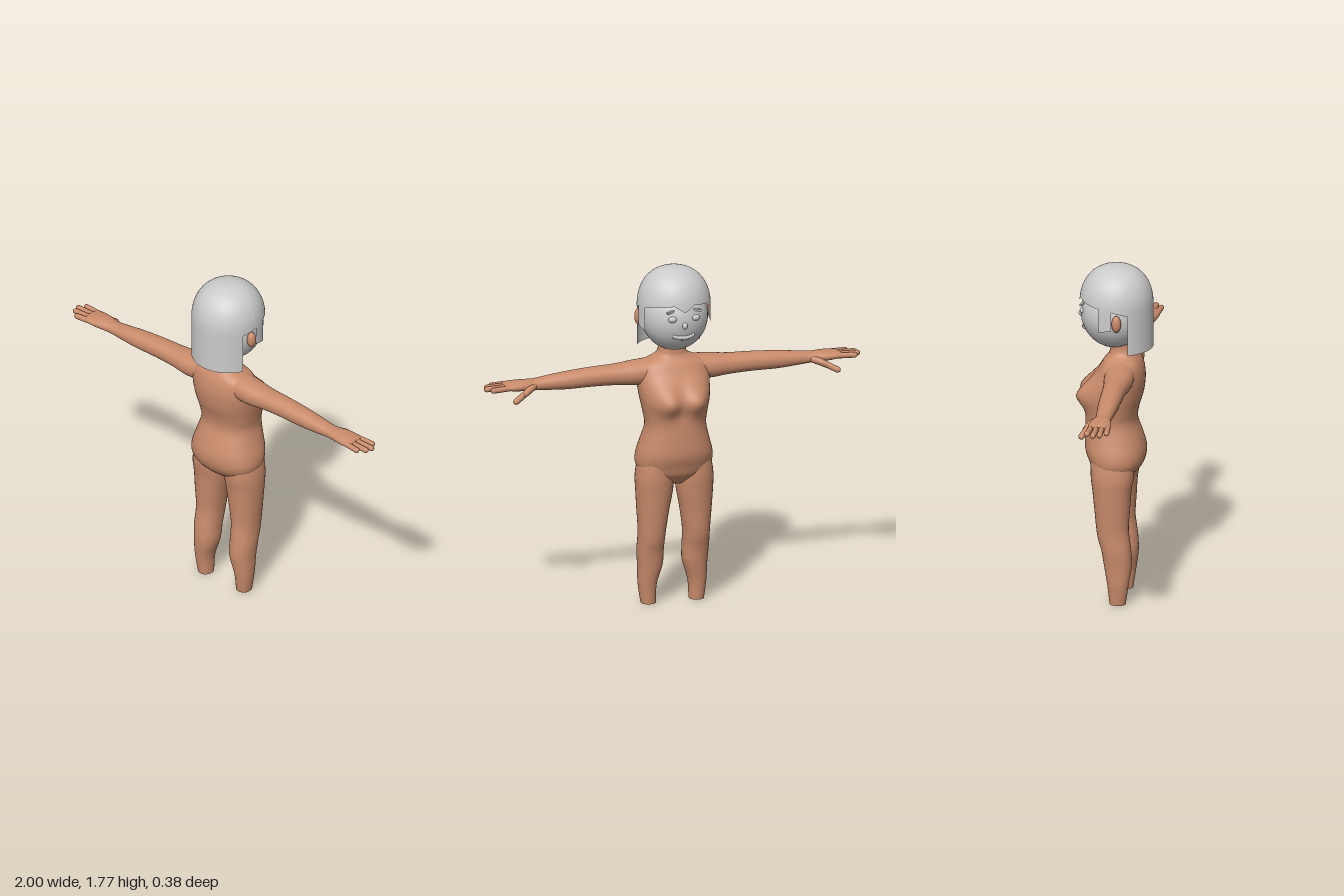
import * as THREE from 'three';

const skin = new THREE.MeshStandardMaterial({ color: 0xc98b6b, side: THREE.DoubleSide });
const grey = new THREE.MeshStandardMaterial({ color: 0xcccccc, side: THREE.DoubleSide });

function mesh(name, geometry, material, x = 0, y = 0, z = 0) {
  const m = new THREE.Mesh(geometry, material);
  m.name = name;
  m.position.set(x, y, z);
  return m;
}

function buildGeometry(pos, index) {
  const g = new THREE.BufferGeometry();
  g.setAttribute('position', new THREE.Float32BufferAttribute(pos, 3));
  g.setIndex(index);
  g.computeVertexNormals();
  return g;
}

// Smooth interpolation of section rows, several steps per span
function resample(rows, steps) {
  const out = [];
  for (let i = 0; i < rows.length - 1; i++) {
    const a = rows[Math.max(i - 1, 0)], b = rows[i], c = rows[i + 1], d = rows[Math.min(i + 2, rows.length - 1)];
    for (let s = 0; s < steps; s++) {
      const t = s / steps;
      out.push(b.map((_, k) => {
        const cubic = 3 * (b[k] - c[k]) + d[k] - a[k];
        const square = 2 * a[k] - 5 * b[k] + 4 * c[k] - d[k];
        return b[k] + 0.5 * t * (c[k] - a[k] + t * (square + t * cubic));
      }));
    }
  }
  out.push(rows[rows.length - 1]);
  return out;
}

// Loft of rounded sections: row = [along, centreU, centreV, radiusU, radiusV]
// Upright: along y, u = x, v = z. Sideways: along x, u = z, v = y.
function loft(rows, sideways = false, power = 0.92, n = 32) {
  const secs = resample(rows, 4), pos = [], index = [];
  const put = (t, u, v) => (sideways ? pos.push(t, v, u) : pos.push(u, t, v));
  const ring = ([t, cu, cv, ru, rv]) => {
    for (let i = 0; i < n; i++) {
      const a = (i / n) * Math.PI * 2, c = Math.cos(a), s = Math.sin(a);
      put(t, cu + ru * Math.sign(c) * Math.abs(c) ** power, cv + rv * Math.sign(s) * Math.abs(s) ** power);
    }
  };
  secs.forEach(ring);
  for (let j = 0; j < secs.length - 1; j++) {
    for (let i = 0; i < n; i++) {
      const a = j * n + i, b = j * n + (i + 1) % n;
      index.push(a, a + n, b, b, a + n, b + n);
    }
  }
  // End caps with their own vertices, so the rims stay crisp
  [secs[0], secs[secs.length - 1]].forEach((sec, end) => {
    const base = pos.length / 3;
    ring(sec);
    put(sec[0], sec[1], sec[2]);
    for (let i = 0; i < n; i++) {
      const p = base + i, q = base + (i + 1) % n;
      index.push(base + n, ...(end ? [q, p] : [p, q]));
    }
  });
  return buildGeometry(pos, index);
}

function digit(name, from, to, r) {
  const a = new THREE.Vector3(...from), b = new THREE.Vector3(...to), d = b.clone().sub(a);
  const m = mesh(name, new THREE.CapsuleGeometry(r, d.length() - 2 * r, 5, 12), skin);
  m.position.copy(a).add(b).multiplyScalar(0.5);
  m.quaternion.setFromUnitVectors(new THREE.Vector3(0, 1, 0), d.normalize());
  return m;
}

function torsoGeometry() {
  const g = loft([
    [0.64, 0, 0, 0.06, 0.06], [0.69, 0, 0.005, 0.16, 0.115], [0.74, 0, 0.01, 0.196, 0.14],
    [0.8, 0, 0.003, 0.195, 0.153], [0.87, 0, -0.007, 0.175, 0.145], [0.95, 0, -0.018, 0.156, 0.13],
    [1.02, 0, -0.01, 0.165, 0.13], [1.09, 0, -0.002, 0.178, 0.143], [1.16, 0, 0.015, 0.186, 0.135],
    [1.22, 0, 0.03, 0.185, 0.115], [1.265, 0, 0.035, 0.165, 0.095], [1.3, 0, 0.037, 0.09, 0.07],
    [1.33, 0, 0.037, 0.07, 0.064], [1.38, 0, 0.037, 0.068, 0.064],
  ], false, 0.88, 48);
  // Gentle fullness of the chest on the face side
  const p = g.attributes.position;
  for (let i = 0; i < p.count; i++) {
    const x = p.getX(i), y = p.getY(i), z = p.getZ(i);
    if (z < 0) {
      const dx = Math.abs(x) - 0.08, dy = y - 1.09;
      const w = Math.exp(-(dx * dx) / 0.0045 - (dy * dy) / 0.006);
      p.setZ(i, z - 0.055 * w * Math.min(1, -z / 0.08));
    }
  }
  g.computeVertexNormals();
  return g;
}

// Left limbs; the right ones are mirrored
function limbs() {
  const g = new THREE.Group();
  g.add(mesh('leg', loft([
    [0, 0.128, 0.03, 0.038, 0.041], [0.1, 0.132, 0.032, 0.047, 0.054], [0.2, 0.119, 0.03, 0.063, 0.07],
    [0.28, 0.12, 0.022, 0.067, 0.075], [0.34, 0.119, 0.01, 0.067, 0.08], [0.4, 0.117, 0.002, 0.07, 0.082],
    [0.5, 0.113, 0, 0.081, 0.09], [0.6, 0.107, -0.002, 0.093, 0.099], [0.68, 0.105, 0, 0.096, 0.11],
    [0.78, 0.1, 0, 0.085, 0.11],
  ]), skin));
  g.add(mesh('arm', loft([
    [0.08, 0.037, 1.225, 0.075, 0.065], [0.2, 0.043, 1.217, 0.074, 0.062], [0.3, 0.043, 1.216, 0.062, 0.053],
    [0.42, 0.043, 1.216, 0.056, 0.049], [0.55, 0.044, 1.211, 0.052, 0.045], [0.65, 0.045, 1.208, 0.045, 0.037],
    [0.73, 0.045, 1.206, 0.04, 0.029], [0.79, 0.043, 1.208, 0.052, 0.027], [0.84, 0.044, 1.209, 0.058, 0.024],
    [0.88, 0.045, 1.21, 0.057, 0.018], [0.895, 0.045, 1.21, 0.05, 0.011],
  ], true), skin));
  const tips = [[-0.004, 0.975], [0.03, 1], [0.063, 0.99], [0.094, 0.955]];
  tips.forEach(([z, x], i) => {
    g.add(digit('finger' + (i + 1), [0.85, 1.21, 0.006 + i * 0.027], [x, 1.207, z], 0.0145));
  });
  g.add(mesh('thumbBase', loft([
    [0.73, 0.025, 1.203, 0.022, 0.018], [0.77, 0, 1.193, 0.03, 0.021], [0.81, -0.028, 1.175, 0.02, 0.018],
  ], true, 1, 16), skin));
  g.add(digit('thumb', [0.775, 1.193, -0.012], [0.868, 1.146, -0.053], 0.016));
  const ear = mesh('ear', new THREE.SphereGeometry(1, 20, 14), skin, 0.178, 1.515, 0.03);
  ear.scale.set(0.022, 0.044, 0.024);
  g.add(ear);
  return g;
}

// Bobbed hair shell whose hem steps around fringe, side locks, ears and back
function hairGeometry() {
  const keys = [[0, 1.575], [0.3, 1.61], [1.21, 1.588], [1.21, 1.465], [1.57, 1.48],
    [1.57, 1.578], [2.02, 1.555], [2.02, 1.345], [Math.PI, 1.345]];
  const half = [];
  keys.slice(0, -1).forEach(([a, h], i) => {
    const [b, k] = keys[i + 1], n = Math.max(1, Math.ceil((b - a) / 0.1));
    for (let s = 0; s < n; s++) half.push([a + (b - a) * s / n, h + (k - h) * s / n]);
  });
  half.push(keys[keys.length - 1]);
  const cols = [...half.slice(1).reverse().map(([a, h]) => [-a, h]), ...half];
  const dome = 16, rows = dome + 5, pos = [], index = [], base = 1.56, rise = 0.21;
  cols.forEach(([a, hem], c) => {
    for (let r = 0; r <= rows; r++) {
      const free = r < dome ? base + rise * Math.cos(r / dome * Math.PI / 2) : base + (hem - base) * (r - dome) / 5;
      const y = Math.max(hem, free), k = Math.max(0, (y - base) / rise);
      const R = 0.187 * Math.max(0, 1 - k ** 2.3) ** (1 / 2.3);
      pos.push(Math.sin(a) * R, y, 0.005 - Math.cos(a) * R);
      if (c && r) {
        const d = c * (rows + 1) + r, u = d - rows - 1;
        index.push(u - 1, d - 1, u, u, d - 1, d);
      }
    }
  });
  return buildGeometry(pos, index);
}

// Head with small raised features, facing -z
function head() {
  const g = new THREE.Group();
  g.name = 'head';
  const blob = (name, x, y, z, sx, sy, sz) => {
    const m = mesh(name, new THREE.SphereGeometry(1, 24, 16), grey, x, y, z);
    m.scale.set(sx, sy, sz);
    g.add(m);
  };
  blob('skull', 0, 1.52, -0.003, 0.172, 0.183, 0.173);
  blob('nose', 0, 1.505, -0.174, 0.014, 0.018, 0.014);
  for (const s of [-1, 1]) {
    blob('eye', s * 0.06, 1.54, -0.161, 0.024, 0.016, 0.012);
    const brow = mesh('brow', new THREE.BoxGeometry(0.055, 0.01, 0.012), grey, s * 0.065, 1.58, -0.155);
    brow.rotation.set(0, s * 0.4, s * -0.12);
    g.add(brow);
  }
  const path = new THREE.QuadraticBezierCurve3(new THREE.Vector3(-0.055, 1.45, -0.146),
    new THREE.Vector3(0, 1.425, -0.168), new THREE.Vector3(0.055, 1.45, -0.146));
  g.add(mesh('mouth', new THREE.TubeGeometry(path, 16, 0.012, 8), grey));
  g.add(mesh('hair', hairGeometry(), grey));
  return g;
}

export function createModel() {
  const model = new THREE.Group();
  model.name = 'figure';
  const left = limbs(), right = limbs();
  left.name = 'leftLimbs';
  right.name = 'rightLimbs';
  right.scale.x = -1;
  model.add(mesh('torso', torsoGeometry(), skin), left, right, head());
  return model;
}
